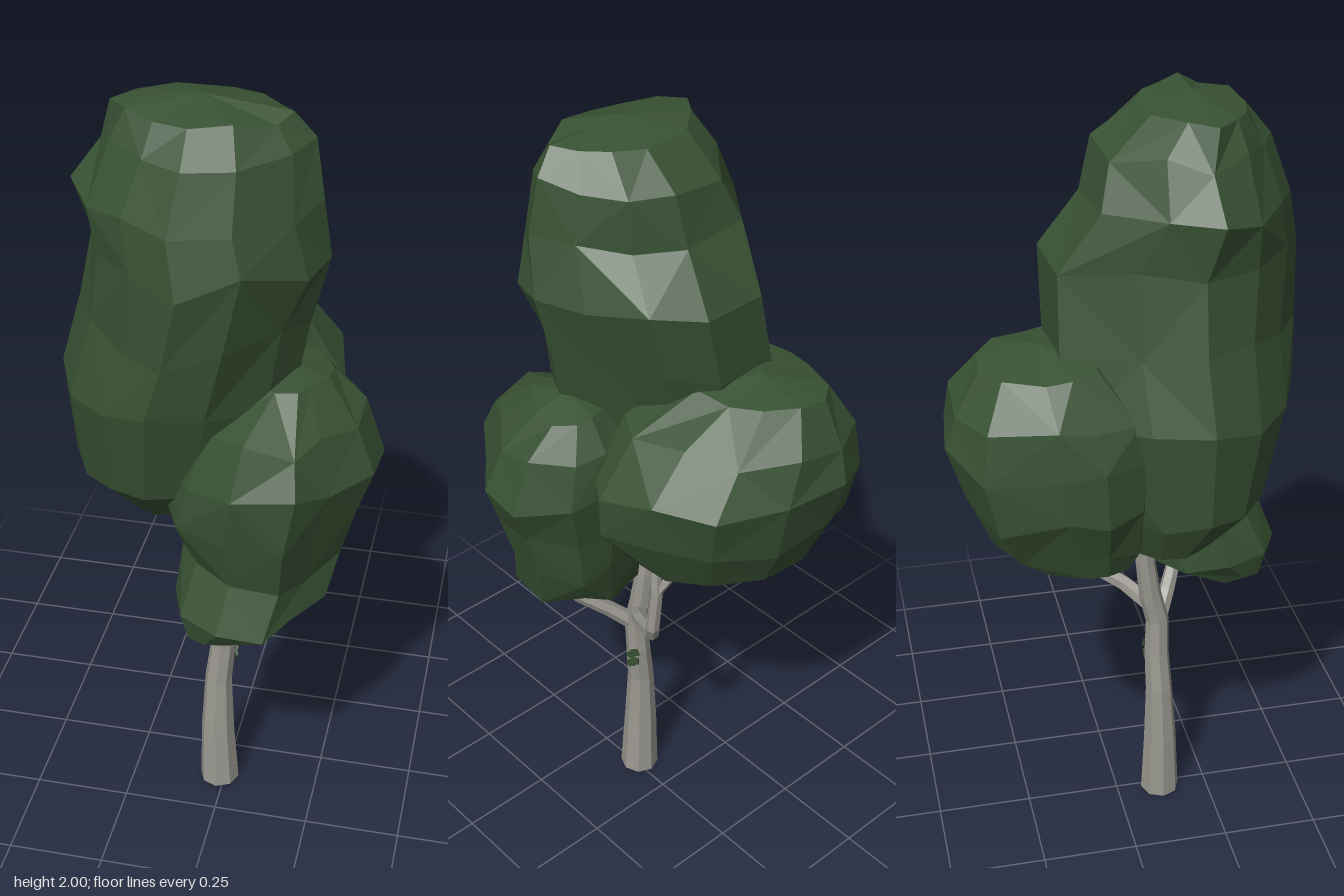
import * as THREE from 'three';

const bark = new THREE.MeshStandardMaterial({ color: 0x99978f });
bark.name = 'bark';
const leaf = new THREE.MeshStandardMaterial({ color: 0x385233 });
leaf.name = 'leaf';

// Small seeded generator for the uneven foliage
function seeded(seed) {
  let s = seed;
  return () => (s = (s * 16807) % 2147483647) / 2147483647;
}

// Faceted skin over rings of points, closed at both ends
function skin(name, rings, bottom, top, material) {
  const pos = [];
  const tri = (...pts) => pts.forEach((p) => pos.push(p.x, p.y, p.z));
  const n = rings[0].length;
  for (let i = 0; i < n; i++) {
    const j = (i + 1) % n;
    for (let k = 0; k < rings.length - 1; k++) {
      const a = rings[k], b = rings[k + 1];
      // Alternate the diagonals for irregular facets
      if ((i + k) % 2) {
        tri(a[i], b[i], a[j]);
        tri(b[i], b[j], a[j]);
      } else {
        tri(a[i], b[i], b[j]);
        tri(a[i], b[j], a[j]);
      }
    }
    const last = rings[rings.length - 1];
    tri(bottom, rings[0][i], rings[0][j]);
    tri(top, last[j], last[i]);
  }
  const geo = new THREE.BufferGeometry();
  geo.setAttribute('position', new THREE.Float32BufferAttribute(pos, 3));
  geo.computeVertexNormals();
  const mesh = new THREE.Mesh(geo, material);
  mesh.name = name;
  return mesh;
}

// Leaf clump: a plan outline in -1..1, fitted to levels [y, xMin, xMax, zMin, zMax]
function clump(name, outline, levels, seed) {
  const rand = seeded(seed);
  const rings = levels.map(([y, x0, x1, z0, z1], k) =>
    outline.map(([u, v]) => {
      const r = 0.96 + rand() * 0.06;
      const inner = k > 0 && k < levels.length - 1;
      return new THREE.Vector3(
        (x0 + x1) / 2 + ((x1 - x0) / 2) * u * r,
        y + (rand() - 0.5) * (inner ? 0.05 : 0.02),
        (z0 + z1) / 2 + ((z1 - z0) / 2) * v * r
      );
    }));
  const centre = (l, dy) => new THREE.Vector3((l[1] + l[2]) / 2, l[0] + dy, (l[3] + l[4]) / 2);
  return skin(name, rings, centre(levels[0], -0.01), centre(levels[levels.length - 1], 0.028), leaf);
}

// Tapered limb through points [x, y, z, radius]
function limb(name, path, sides = 6) {
  const pts = path.map((p) => new THREE.Vector3(p[0], p[1], p[2]));
  const up = new THREE.Vector3(0, 1, 0);
  const rings = pts.map((p, k) => {
    const dir = pts[Math.min(k + 1, pts.length - 1)].clone().sub(pts[Math.max(k - 1, 0)]).normalize();
    const q = new THREE.Quaternion().setFromUnitVectors(up, dir);
    return Array.from({ length: sides }, (_, i) => {
      const a = (i / sides) * Math.PI * 2;
      return new THREE.Vector3(Math.cos(a), 0, Math.sin(a))
        .multiplyScalar(path[k][3]).applyQuaternion(q).add(p);
    });
  });
  return skin(name, rings, pts[0], pts[pts.length - 1], bark);
}

export function createModel() {
  const tree = new THREE.Group();
  tree.name = 'tree';

  // Trunk and branches
  tree.add(
    limb('trunk', [[-0.015, 0, 0.12, 0.053], [-0.02, 0.18, 0.118, 0.045], [-0.018, 0.35, 0.113, 0.036],
      [-0.006, 0.46, 0.108, 0.033], [0, 0.56, 0.11, 0.031], [0, 0.64, 0.09, 0.03],
      [-0.005, 0.75, 0.075, 0.026], [-0.02, 1.02, 0.07, 0.02]], 8),
    limb('frontBranch', [[0, 0.55, 0.11, 0.024], [0.06, 0.61, 0.15, 0.021], [0.13, 0.67, 0.19, 0.018],
      [0.18, 0.75, 0.205, 0.015], [0.19, 0.84, 0.205, 0.012]]),
    limb('frontTwig', [[0.13, 0.67, 0.19, 0.012], [0.11, 0.73, 0.17, 0.01], [0.1, 0.8, 0.15, 0.008]]),
    limb('backBranch', [[0, 0.6, 0.1, 0.024], [0.055, 0.65, 0.03, 0.021], [0.115, 0.71, -0.085, 0.02],
      [0.13, 0.75, -0.105, 0.018], [0.125, 0.87, -0.115, 0.016], [0.12, 0.97, -0.105, 0.013]]),
    limb('backTwig', [[0.125, 0.87, -0.115, 0.013], [0.1, 0.92, -0.14, 0.011], [0.09, 0.98, -0.15, 0.009]])
  );

  // Foliage
  tree.add(
    clump('tallFoliage',
      [[1, 0.12], [0.85, 0.46], [0.42, 0.87], [-0.05, 1], [-0.45, 0.82], [-0.8, 0.5],
        [-1, 0.07], [-0.8, -0.4], [-0.45, -0.96], [0.18, -1], [0.55, -0.74], [0.82, -0.3]],
      [[0.93, -0.29, 0.0, -0.02, 0.22], [1.04, -0.36, 0.1, -0.08, 0.35], [1.3, -0.39, 0.18, -0.16, 0.415],
        [1.47, -0.335, 0.21, -0.18, 0.41], [1.65, -0.31, 0.265, -0.185, 0.42], [1.78, -0.335, 0.24, -0.085, 0.39],
        [1.9, -0.27, 0.215, -0.06, 0.345], [1.97, -0.23, 0.175, 0.04, 0.29]], 17),
    clump('backFoliage',
      [[0.98, 0.46], [0.8, 0.8], [0.2, 1], [-0.4, 1], [-0.85, 0.75], [-1, 0.34],
        [-1, -0.06], [-0.8, -0.72], [-0.4, -1], [0.12, -0.97], [0.6, -0.64], [0.85, -0.14]],
      [[0.915, -0.29, 0.06, -0.25, 0], [0.96, -0.31, 0.19, -0.34, 0.04], [1.08, -0.36, 0.26, -0.4, 0.06],
        [1.22, -0.365, 0.28, -0.44, 0.07], [1.34, -0.34, 0.18, -0.42, 0.04], [1.43, -0.27, 0.03, -0.36, -0.06]], 91),
    clump('frontFoliage',
      [[1, -0.46], [1, 0.07], [0.62, 0.57], [0.37, 0.97], [-0.24, 1], [-0.75, 0.7],
        [-1, 0.18], [-0.87, -0.4], [-0.4, -0.87], [0.2, -1], [0.62, -0.92]],
      [[0.69, -0.06, 0.12, 0.23, 0.4], [0.76, -0.095, 0.28, 0.05, 0.44], [0.87, -0.075, 0.31, 0.02, 0.39],
        [1.0, -0.12, 0.35, 0, 0.425], [1.14, -0.1, 0.385, -0.02, 0.435], [1.25, -0.04, 0.34, -0.01, 0.39],
        [1.335, 0.08, 0.26, 0.04, 0.26]], 53)
  );

  // Small tuft of thin leaflets on the trunk
  const tuft = new THREE.Group();
  tuft.name = 'trunkTuft';
  for (let i = 0; i < 4; i++) {
    const leaflet = new THREE.Mesh(new THREE.BoxGeometry(0.02, 0.02, 0.006), leaf);
    leaflet.name = 'leaflet';
    leaflet.position.set((i % 2) * 0.014 - 0.007, i * 0.015 - 0.022, (i % 2) * 0.002);
    leaflet.rotation.z = 0.5 + i;
    tuft.add(leaflet);
  }
  tuft.position.set(0.025, 0.447, 0.094);
  tuft.rotation.y = 1.95;
  tree.add(tuft);
  return tree;
}
